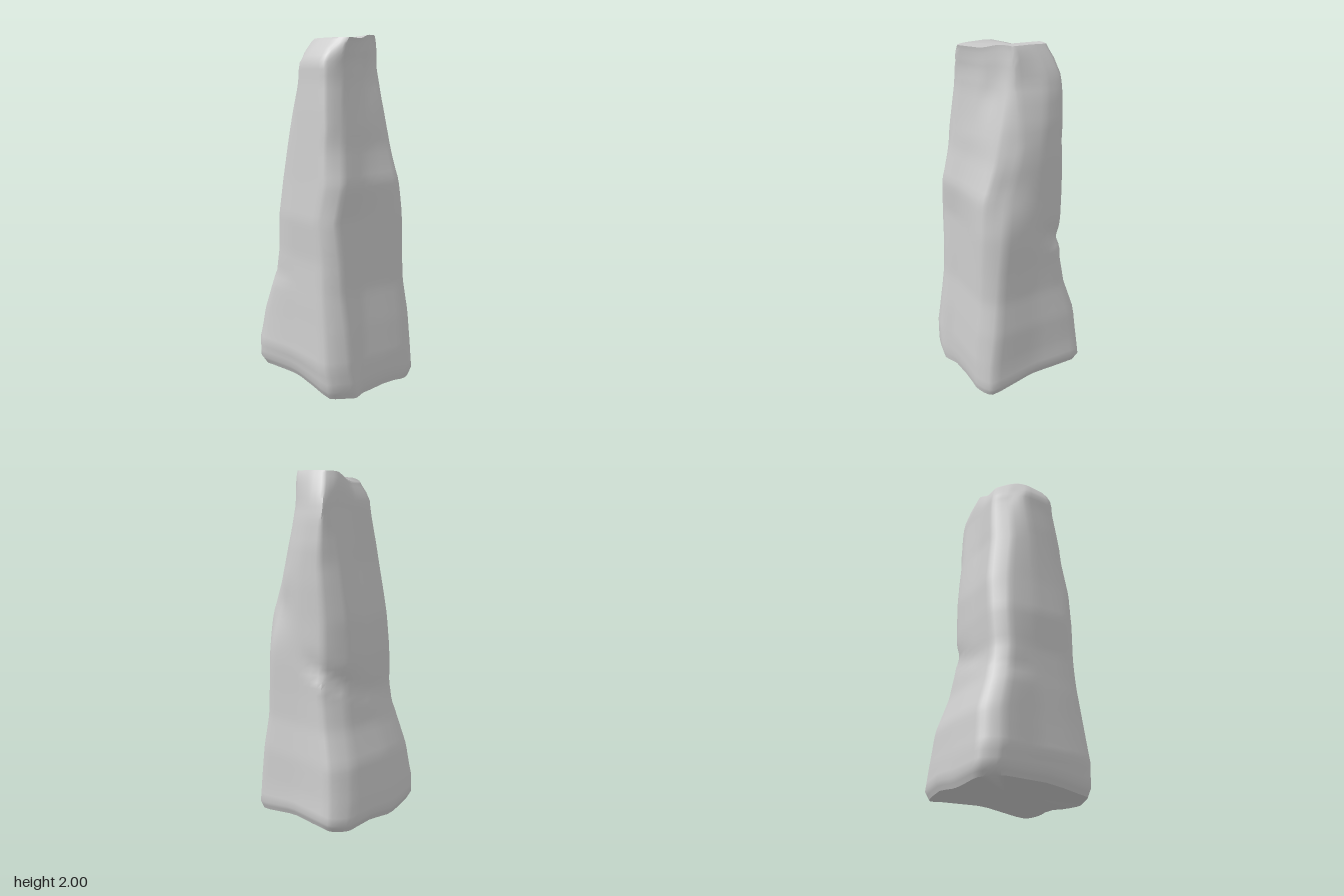
import * as THREE from 'three';
import { toCreasedNormals } from 'three/addons/utils/BufferGeometryUtils.js';

// Outlines (x, z) from the front, round by the left side, back and right side
const outlines = [
  { y: 0.1, p: [-0.1, 0.335, 0.2, 0.37, 0.315, 0.32, 0.34, 0.02, 0.375, -0.26, 0.26, -0.34, -0.07, -0.375, -0.315, -0.355, -0.375, -0.26, -0.345, -0.03, -0.345, 0.3, -0.2, 0.365] },
  { y: 1.0, p: [-0.08, 0.28, 0.21, 0.315, 0.3, 0.22, 0.305, 0, 0.295, -0.165, 0.16, -0.24, -0.02, -0.245, -0.2, -0.245, -0.285, -0.17, -0.31, -0.02, -0.31, 0.2, -0.245, 0.285] },
  { y: 1.5, p: [-0.02, 0.235, 0.19, 0.2, 0.27, 0.1, 0.3, -0.02, 0.295, -0.145, 0.18, -0.2, 0, -0.185, -0.16, -0.195, -0.25, -0.11, -0.28, 0, -0.27, 0.205, -0.17, 0.245] },
  { y: 1.82, p: [0.03, 0.18, 0.17, 0.13, 0.22, 0.1, 0.28, -0.05, 0.28, -0.15, 0.2, -0.155, 0.03, -0.155, -0.11, -0.165, -0.19, -0.09, -0.255, -0.02, -0.248, 0.18, -0.14, 0.225] },
  { y: 1.96, p: [0.02, 0.175, 0.16, 0.11, 0.2, 0.1, 0.215, -0.02, 0.21, -0.11, 0.14, -0.13, 0.02, -0.13, -0.08, -0.13, -0.15, -0.06, -0.18, 0.04, -0.17, 0.17, -0.13, 0.235] },
];

// Silhouette limits: y, min x, max x, min z, max z
const limits = [
  [0.0, -0.34, 0.35, -0.355, 0.365], [0.05, -0.365, 0.375, -0.375, 0.375],
  [0.2, -0.375, 0.36, -0.365, 0.372], [0.4, -0.35, 0.345, -0.34, 0.355],
  [0.6, -0.33, 0.315, -0.27, 0.33], [0.78, -0.32, 0.305, -0.235, 0.325],
  [1.0, -0.325, 0.3, -0.24, 0.32], [1.2, -0.305, 0.3, -0.235, 0.305],
  [1.4, -0.29, 0.305, -0.21, 0.262], [1.6, -0.275, 0.303, -0.185, 0.24],
  [1.75, -0.26, 0.29, -0.17, 0.225], [1.85, -0.255, 0.27, -0.16, 0.225],
  [1.92, -0.22, 0.24, -0.145, 0.235], [1.985, -0.17, 0.205, -0.12, 0.237],
];

const N = 48;
const { smoothstep, mapLinear, lerp, clamp } = THREE.MathUtils;
const bump = (d, w) => Math.exp(-(d * d) / (w * w));

// Linear blend of table rows at height y
function blend(heights, rows, y) {
  let i = 0;
  while (i < heights.length - 2 && y > heights[i + 1]) i++;
  const t = clamp((y - heights[i]) / (heights[i + 1] - heights[i]), 0, 1);
  return rows[i].map((v, k) => lerp(v, rows[i + 1][k], t));
}

function ring(y) {
  const p = blend(outlines.map(o => o.y), outlines.map(o => o.p), y);
  const [, x0, x1, z0, z1] = blend(limits.map(l => l[0]), limits, y);
  const pts = [];
  for (let i = 0; i < p.length; i += 2) pts.push(new THREE.Vector3(p[i], 0, p[i + 1]));
  const curve = new THREE.CatmullRomCurve3(pts, true, 'catmullrom', 0.2);
  const out = Array.from({ length: N }, (_, i) => curve.getPoint(i / N));
  const box = new THREE.Box3().setFromPoints(out);
  return out.map(v => {
    // Fit the outline to the silhouette
    const x = mapLinear(v.x, box.min.x, box.max.x, x0, x1);
    const z = mapLinear(v.z, box.min.z, box.max.z, z0, z1);
    // Slanting ledge: climbs across the back, then forward along the left side
    const d = y - (0.765 + 0.38 * x + 0.5 * Math.max(0, z + 0.2) * smoothstep(x, 0.1, 0.25));
    const deep = lerp(0.008, 0.028, smoothstep(x, 0, 0.28)) * smoothstep(-z, -0.02, 0.15);
    const ledge = deep * bump(d, d < 0 ? 0.03 : 0.07);
    // Notch on the front left edge and hollow below the top
    const notch = 0.03 * bump(y - 1.25, 0.14) * bump(x - 0.28, 0.06) * bump(z - 0.2, 0.1);
    const hollow = 0.02 * bump(y - 1.75, 0.13) * bump(x - 0.09, 0.05) * smoothstep(z, 0, 0.1);
    const s = 1 - (ledge + notch + hollow) / Math.hypot(x, z);
    // Uneven foot
    const lift = 0.01 + 0.048 * smoothstep(-z, -0.36, 0) - 0.015 * smoothstep(-z, 0.2, 0.36) + 0.01 * Math.sin(16 * x);
    const foot = lift * (1 - smoothstep(y, 0, 0.3));
    // Crown: high on the left, falling away to the back right
    const high = smoothstep(x, 0, 0.13);
    const crown = smoothstep(y, 1.8, 1.985) * (lerp(-0.01, 0.016, high) - lerp(0.25, 0.06, high) * Math.max(0, -z));
    return [x * s, y + foot + crown, z * s];
  });
}

function createPillarGeometry() {
  const ys = [0, 0.025, 0.05, 0.1, 0.15];
  for (let y = 0.2; y < 1.84; y += 0.035) ys.push(y);
  ys.push(1.85, 1.885, 1.92, 1.955, 1.975, 1.985);
  const pos = ys.map(ring).flat(2);
  const idx = [];
  const last = (ys.length - 1) * N;
  const bottom = ys.length * N;
  const top = bottom + 1;
  // Centres of the underside and the crown
  pos.push(0, 0.065, 0, 0.02, 1.978, 0.01);
  for (let i = 0; i < N; i++) {
    const j = (i + 1) % N;
    for (let r = 0; r < last; r += N) idx.push(r + i, r + j, r + N + j, r + i, r + N + j, r + N + i);
    idx.push(j, i, bottom, last + i, last + j, top);
  }
  const g = new THREE.BufferGeometry();
  g.setAttribute('position', new THREE.Float32BufferAttribute(pos, 3));
  g.setIndex(idx);
  return toCreasedNormals(g, 1.0);
}

export function createModel() {
  const group = new THREE.Group();
  group.name = 'rockPillar';
  const rock = new THREE.Mesh(createPillarGeometry(), new THREE.MeshStandardMaterial({ color: 0xcccccc }));
  rock.name = 'rock';
  group.add(rock);
  return group;
}
